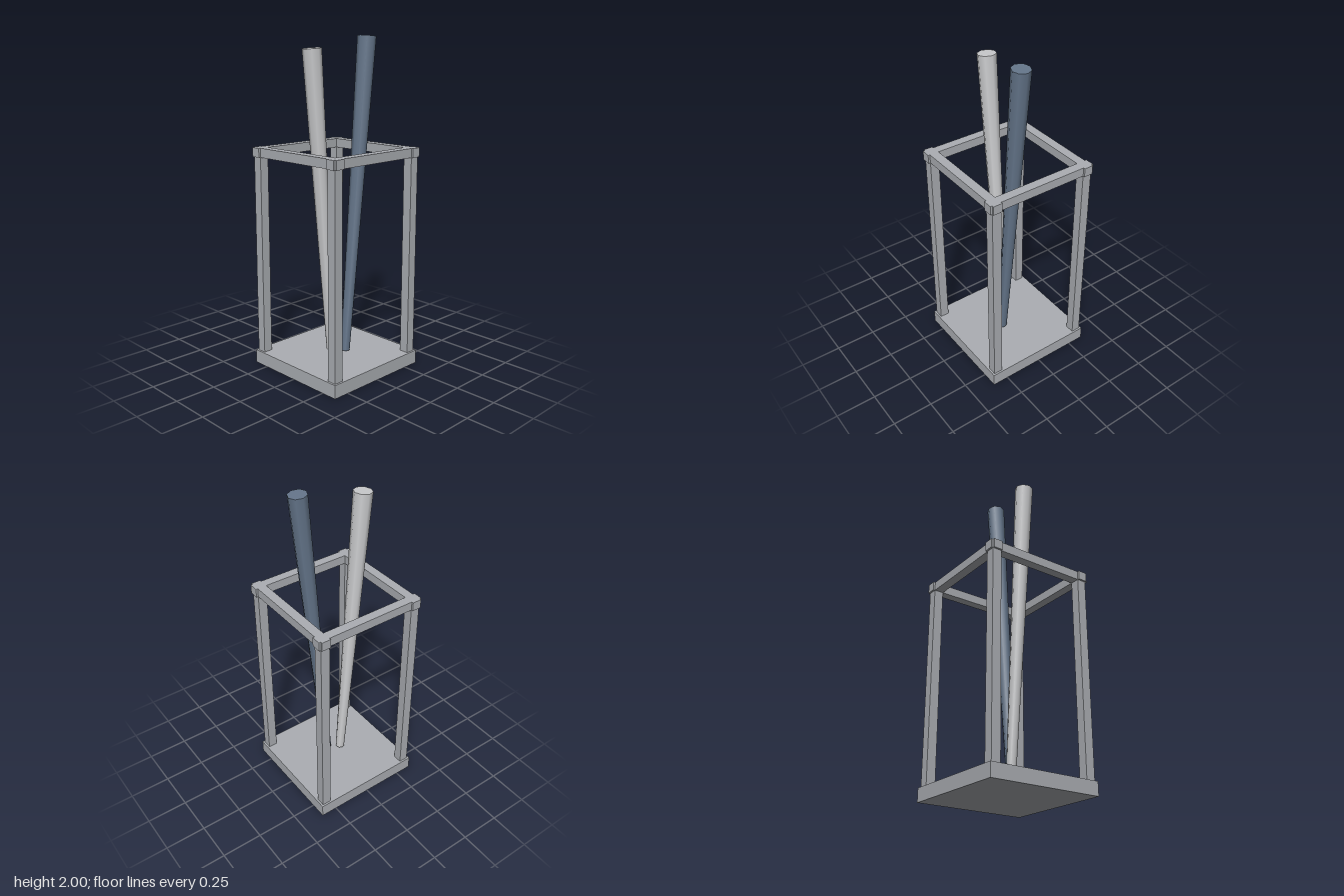
import * as THREE from 'three';

export function createModel() {
  const model = new THREE.Group();
  model.name = 'umbrellaStand';

  const mat = (name, color) => {
    const m = new THREE.MeshStandardMaterial({ color });
    m.name = name;
    return m;
  };
  const metal = mat('standGrey', 0xabaeb3);
  const pale = mat('paleGrey', 0xcbccce);
  const slate = mat('slateBlue', 0x64758a);

  const add = (name, geometry, material, x, y, z) => {
    const mesh = new THREE.Mesh(geometry, material);
    mesh.name = name;
    mesh.position.set(x, y, z);
    model.add(mesh);
    return mesh;
  };

  // Half sizes: base and rail ends, outer and inner faces of the posts
  const half = 0.352, outer = 0.34, inner = 0.283;
  const baseTop = 0.082, railBottom = 1.3, railTop = 1.355;

  // Base plate
  add('base', new THREE.BoxGeometry(half * 2, baseTop, half * 2), metal, 0, baseTop / 2, 0);

  // Four square posts
  const width = outer - inner, mid = (outer + inner) / 2;
  const post = new THREE.BoxGeometry(width, railBottom - baseTop, width);
  for (const [side, sx] of [['left', 1], ['right', -1]])
    for (const [end, sz] of [['Front', 1], ['Back', -1]])
      add(`${side}${end}Post`, post, metal, sx * mid, (baseTop + railBottom) / 2, sz * mid);

  // Top frame: rails crossing at the corners with short projecting ends
  const corner = [[outer, inner], [half, inner], [half, outer], [outer, outer],
    [outer, half], [inner, half], [inner, outer]];
  const outline = [];
  let points = corner;
  for (let i = 0; i < 4; i++) {
    outline.push(...points.map(([x, y]) => new THREE.Vector2(x, y)));
    points = points.map(([x, y]) => [-y, x]);
  }
  const frame = new THREE.Shape(outline);
  frame.holes.push(new THREE.Path([[-1, -1], [-1, 1], [1, 1], [1, -1]]
    .map(([x, y]) => new THREE.Vector2(x * inner, y * inner))));
  const frameGeometry = new THREE.ExtrudeGeometry(frame, { depth: railTop - railBottom, bevelEnabled: false });
  frameGeometry.rotateX(-Math.PI / 2);
  add('topFrame', frameGeometry, metal, 0, railBottom, 0);

  // Tapered eight-sided umbrellas leaning apart
  const addUmbrella = (name, material, bottom, top) => {
    const axis = top.clone().sub(bottom);
    const centre = top.clone().add(bottom).multiplyScalar(0.5);
    const geometry = new THREE.CylinderGeometry(0.056, 0.028, axis.length(), 8);
    const mesh = add(name, geometry, material, centre.x, centre.y, centre.z);
    mesh.rotation.z = -Math.atan2(axis.x, axis.y);
  };
  addUmbrella('paleUmbrella', pale, new THREE.Vector3(-0.041, 0.105, 0), new THREE.Vector3(-0.187, 1.927, 0));
  addUmbrella('slateUmbrella', slate, new THREE.Vector3(0.026, 0.094, 0.055), new THREE.Vector3(0.198, 1.995, 0.055));

  return model;
}
